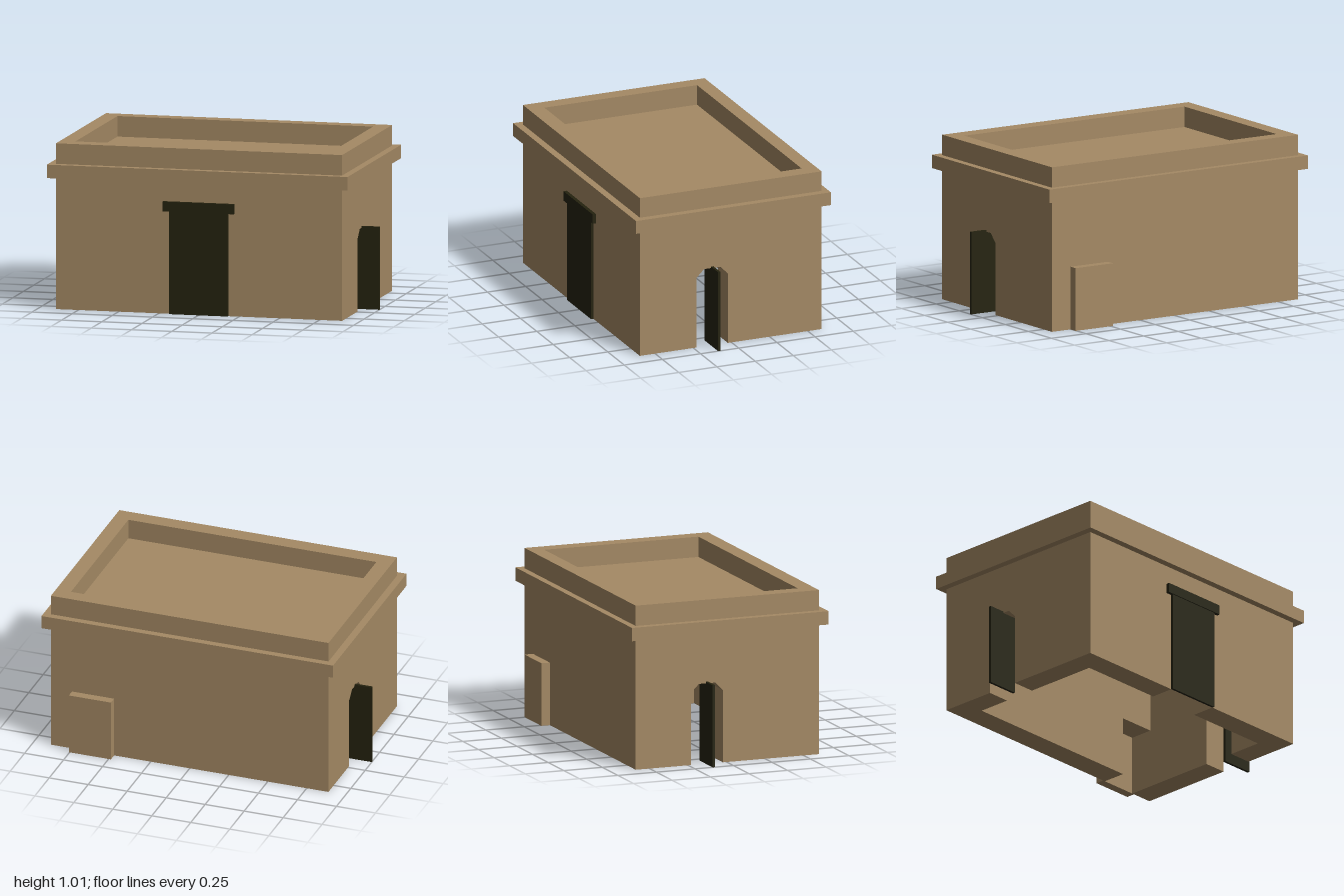
import * as THREE from 'three';

const W = 0.89, FRONT = 0.6, BACK = -0.59, T = 0.15, ROOF = 0.885;

function poly(points, Type = THREE.Shape) {
  return new Type(points.map(([x, y]) => new THREE.Vector2(x, y)));
}

const rect = (x0, x1, y0, y1) => [[x0, y0], [x1, y0], [x1, y1], [x0, y1]];

// Wall outline from a to b with a doorway (listed left to right) cut from the ground up
function wallGeometry(a, b, doorway) {
  const shape = poly([[a, 0], ...doorway, [b, 0], [b, ROOF], [a, ROOF]]);
  return new THREE.ExtrudeGeometry(shape, { depth: T, bevelEnabled: false });
}

// Horizontal rectangular ring; outer and inner are [x0, x1, z0, z1]
function ringGeometry(outer, inner, y0, y1) {
  const flip = ([x0, x1, z0, z1]) => rect(x0, x1, -z1, -z0);
  const shape = poly(flip(outer));
  shape.holes.push(poly(flip(inner), THREE.Path));
  const geo = new THREE.ExtrudeGeometry(shape, { depth: y1 - y0, bevelEnabled: false });
  return geo.rotateX(-Math.PI / 2).translate(0, y0, 0);
}

function boxGeometry(x0, x1, y0, y1, z0, z1) {
  return new THREE.BoxGeometry(x1 - x0, y1 - y0, z1 - z0)
    .translate((x0 + x1) / 2, (y0 + y1) / 2, (z0 + z1) / 2);
}

export function createModel() {
  const group = new THREE.Group();
  const plaster = new THREE.MeshStandardMaterial({ name: 'tan plaster', color: 0xa58a65 });
  const darkWood = new THREE.MeshStandardMaterial({ name: 'dark wood', color: 0x25230f });
  const add = (name, geometry, material) => {
    const mesh = new THREE.Mesh(geometry, material);
    mesh.name = name;
    group.add(mesh);
    return mesh;
  };

  // Front and back walls with square doorways
  const opening = (x0, x1, h) => [[x0, 0], [x0, h], [x1, h], [x1, 0]];
  add('frontWall', wallGeometry(-W, W, opening(-0.18, 0.18, 0.62)), plaster)
    .position.z = FRONT - T;
  add('backWall', wallGeometry(-W, W, opening(0.5, 0.74, 0.37)), plaster)
    .position.z = BACK;

  // Side walls with chamfered arches, and a pivoted door standing open in each
  for (const [side, s] of [['left', 1], ['right', -1]]) {
    const c = s * 0.127;
    const arch = [[-0.103, 0], [-0.103, 0.445], [-0.053, 0.495],
      [0.053, 0.495], [0.103, 0.445], [0.103, 0]].map(([z, y]) => [-c + z, y]);
    const geo = wallGeometry(-(FRONT - T), -(BACK + T), arch).rotateY(Math.PI / 2);
    add(side + 'Wall', geo, plaster).position.x = s > 0 ? W - T : -W;
    const x = s * 0.895;
    add(side + 'Door', boxGeometry(x - 0.105, x + 0.105, 0, 0.505, c - 0.008, c + 0.008), darkWood);
  }

  // Roof deck, parapet and cornice
  add('roof', boxGeometry(-W + T, W - T, 0.8, ROOF, BACK + T, FRONT - T), plaster);
  add('parapet', ringGeometry([-W, W, BACK, FRONT], [-0.795, 0.795, -0.5, 0.5], ROOF, 1.01), plaster);
  add('cornice', ringGeometry([-0.935, 0.935, -0.632, 0.645], [-W, W, BACK, FRONT], 0.803, ROOF), plaster);

  // Front door with lintel, and the slab closing the back doorway
  add('frontDoor', boxGeometry(-0.182, 0.182, 0, 0.625, FRONT, 0.615), darkWood);
  add('frontLintel', boxGeometry(-0.222, 0.222, 0.625, 0.685, FRONT, 0.622), darkWood);
  add('backSlab', boxGeometry(0.485, 0.755, 0, 0.385, -0.645, BACK), plaster);

  return group;
}
